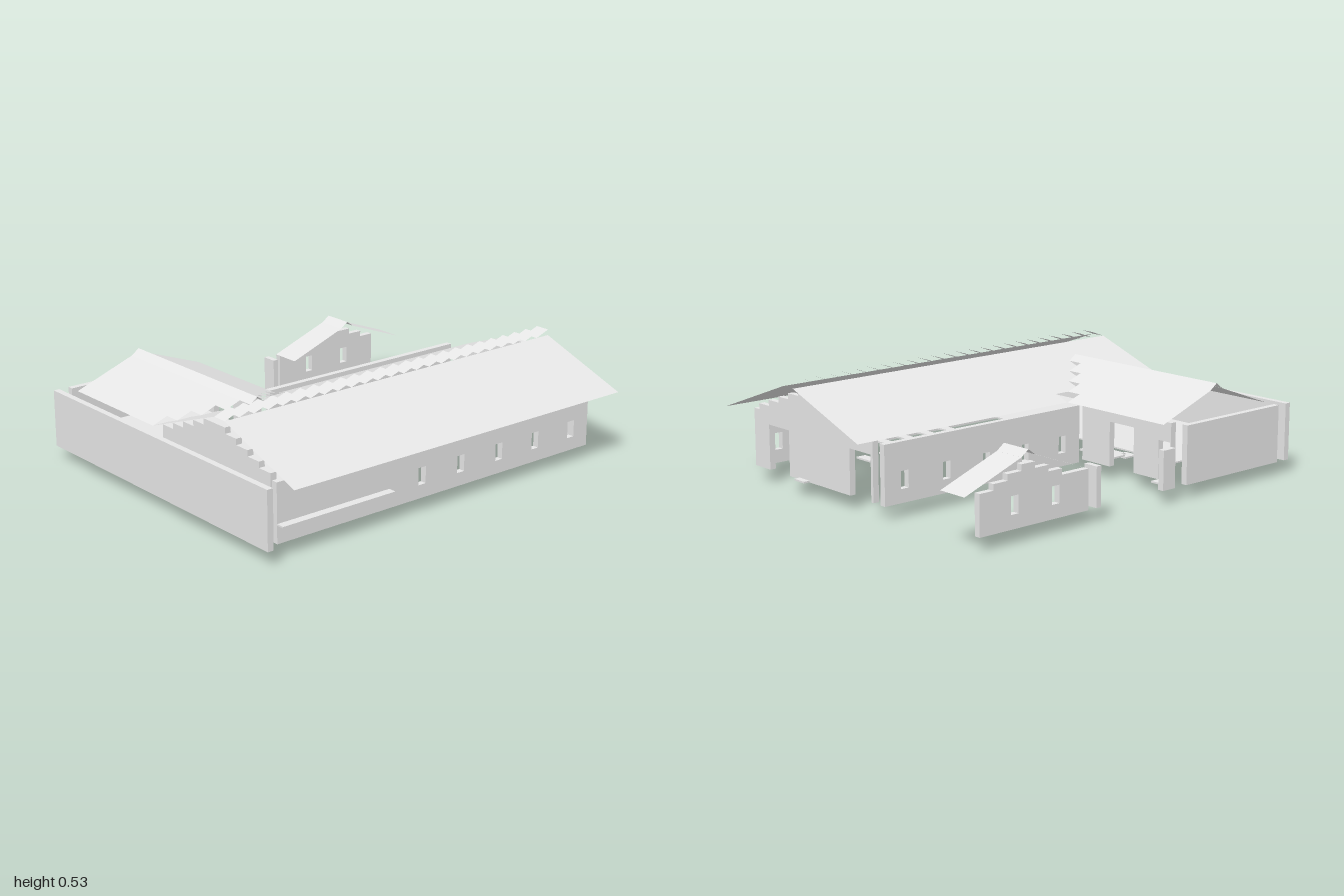
import * as THREE from 'three';

const CELL = 0.077, RISE = 0.028, T = 0.03;
const BASE = 0.067, FLOOR = 0.157, EAVE = 0.34;

export function createModel() {
  const model = new THREE.Group();
  const plaster = new THREE.MeshStandardMaterial({ color: 0xe6e6e6, side: THREE.DoubleSide });
  plaster.name = 'pale grey';

  const add = (geometry, name) => {
    const mesh = new THREE.Mesh(geometry, plaster);
    mesh.name = name;
    model.add(mesh);
    return mesh;
  };

  // Box given by its limits on each axis
  const box = (name, x0, x1, y0, y1, z0, z1) => {
    const mesh = add(new THREE.BoxGeometry(x1 - x0, y1 - y0, z1 - z0), name);
    mesh.position.set((x0 + x1) / 2, (y0 + y1) / 2, (z0 + z1) / 2);
  };

  // Flat polygon fanned from its first corner
  const panel = (name, ...corners) => {
    const geometry = new THREE.BufferGeometry();
    geometry.setAttribute('position', new THREE.Float32BufferAttribute(corners.flat(), 3));
    const index = [];
    for (let i = 1; i < corners.length - 1; i++) index.push(0, i, i + 1);
    geometry.setIndex(index);
    geometry.computeVertexNormals();
    add(geometry, name);
  };

  // Upright wall from an outline, with [u0, u1, v0, v1] openings cut out.
  // Along x it starts at z = at; along z it starts at x = at.
  const wall = (name, axis, at, outline, openings = []) => {
    const s = axis === 'x' ? 1 : -1;
    const shape = new THREE.Shape(outline.map(([u, v]) => new THREE.Vector2(u * s, v)));
    for (const [a, b, c, d] of openings) {
      shape.holes.push(new THREE.Path([[a, c], [b, c], [b, d], [a, d]]
        .map(([u, v]) => new THREE.Vector2(u * s, v))));
    }
    const mesh = add(new THREE.ExtrudeGeometry(shape, { depth: T, bevelEnabled: false }), name);
    if (axis === 'x') mesh.position.z = at;
    else { mesh.rotation.y = Math.PI / 2; mesh.position.x = at; }
  };

  // Lower edge of a wall, stepping up over doorways given as [u0, u1, top]
  const foot = (u0, u1, doors = [], y = BASE) => [
    [u0, y],
    ...doors.flatMap(([a, b, top]) => [[a, y], [a, top], [b, top], [b, y]]),
    [u1, y],
  ];
  const rect = (a, b, top, doors) => [...foot(a, b, doors), [b, top], [a, top]];

  // Stepped gable on top of a lower edge
  const stepped = (lower, from, to, eave, steps) => {
    const right = [], left = [];
    for (let i = 0; i < steps; i++) {
      const y0 = eave + i * RISE, y1 = y0 + RISE;
      right.push([to - i * CELL, y0], [to - i * CELL, y1]);
      left.unshift([from + i * CELL, y1], [from + i * CELL, y0]);
    }
    const u0 = lower[0][0], u1 = lower[lower.length - 1][0];
    return [...lower, [u1, eave], ...right, ...left, [u0, eave]];
  };

  const windowAt = z => [z - 0.021, z + 0.021, 0.13, 0.21];
  const windows = [0.12, -0.11, -0.345, -0.575, -0.81].map(windowAt);

  // Hall walls
  wall('rightWall', 'z', 0.7, rect(-0.92, 0.92, EAVE), windows);
  wall('hallLeftWall', 'z', -0.235, rect(-0.92, 0.23, EAVE), windows);
  wall('backGable', 'x', -0.92,
    stepped(foot(-0.155, 0.7, [[-0.14, 0.01, 0.28], [0.46, 0.615, 0.28]]), -CELL, 0.69, EAVE, 5));
  wall('frontGable', 'x', 0.89,
    stepped(foot(-0.077, 0.69, [[0.23, 0.385, 0.28]], FLOOR), -CELL, 0.69, EAVE, 5));

  // Raised floor across the front
  box('raisedFloor', -0.77, 0.77, 0.15, FLOOR, 0.31, 0.92);

  // Outer enclosure
  box('frontWall', -0.85, 0.77, BASE, EAVE, 0.97, 1);
  box('leftWall', -0.85, -0.82, BASE, EAVE, 0.3, 0.92);
  box('gatePost', -0.85, -0.82, BASE, 0.25, 0.15, 0.225);
  wall('wingBackWall', 'x', 0.28, rect(-0.77, -0.205, EAVE, [[-0.765, -0.695, 0.25], [-0.54, -0.385, 0.28]]));

  // Hall roof: right slope, and left slope up to the wing
  const zb = -1, zf = 0.92, z0 = 0.23, ridge = 0.508, x0 = -0.155, xr = 0.308;
  const slopeY = x => EAVE + (x - x0) / (xr - x0) * (ridge - EAVE);
  const leftSlope = (x, za, zc) => panel('hallRoofLeft',
    [x, slopeY(x), zc], [xr, ridge, zc], [xr, ridge, za], [x, slopeY(x), za]);
  panel('hallRoofRight', [0.382, ridge, zf], [0.843, EAVE, zf], [0.843, EAVE, zb], [0.382, ridge, zb]);
  leftSlope(x0, zb, z0);

  // Wing roof in stepped rows, with the hall roof filling in beside each row
  const wingX = -0.77, wingTop = EAVE + 4 * RISE;
  for (let i = 0; i < 4; i++) {
    const end = x0 + i * CELL, y = EAVE + i * RISE;
    const b = z0 + i * CELL, f = zf - i * CELL;
    panel('wingRoofBackRow', [wingX, y + RISE, b + CELL], [end, y + RISE, b + CELL], [end, y, b], [wingX, y, b]);
    panel('wingRoofFrontRow', [wingX, y, f], [end, y, f], [end, y + RISE, f - CELL], [wingX, y + RISE, f - CELL]);
    leftSlope(i === 0 ? end + CELL : end, b, b + CELL);
    leftSlope(end, f - CELL, f);
  }
  leftSlope(x0 + 4 * CELL, z0 + 4 * CELL, zf - 4 * CELL);

  // Steeper cap along a ridge that runs in x
  const ridgeCap = (name, xa, xb, y, mid) => {
    const h = CELL / 2;
    panel(name, [xa, y, mid + h], [xb, y, mid + h], [xb, y + RISE, mid], [xa, y + RISE, mid]);
    panel(name, [xa, y + RISE, mid], [xb, y + RISE, mid], [xb, y, mid - h], [xa, y, mid - h]);
  };
  ridgeCap('wingRoofCap', wingX, 0.153, wingTop, 0.575);

  // Row of tilted ridge tiles on the hall
  const tiles = 25, step = (zf - zb) / tiles;
  for (let i = 0; i < tiles; i++) {
    const z = zf - i * step;
    panel('ridgeTile', [xr, ridge, z], [0.382, ridge, z],
      [0.382, ridge + RISE, z - step], [xr, ridge + RISE, z - step]);
  }

  // Annex
  wall('annexWall', 'z', -0.85, stepped(foot(-0.92, -0.31), -0.846, -0.464, 0.25, 3),
    [windowAt(-0.73), windowAt(-0.5)]);
  box('annexEndWall', -0.85, -0.775, BASE, 0.25, -0.262, -0.235);
  panel('annexRoofBack', [-0.85, 0.363, -0.694], [-0.7, 0.363, -0.694], [-0.7, 0.25, -1], [-0.85, 0.25, -1]);
  panel('annexRoofFront', [-0.85, 0.25, -0.31], [-0.7, 0.25, -0.31], [-0.7, 0.363, -0.617], [-0.85, 0.363, -0.617]);
  ridgeCap('annexRoofCap', -0.85, -0.7, 0.363, -0.655);

  // Door mats and sunken steps
  const plate = (name, xa, xb, y, za, zc) => box(name, xa, xb, y, y + 0.008, za, zc);
  plate('wingDoorMat', -0.77, -0.695, 0.06, 0.235, 0.31);
  plate('backDoorMat', 0.31, 0.385, 0.067, -0.95, -0.92);
  plate('hallStep', 0.54, 0.615, 0.06, 0.7, 0.77);
  plate('upperStep', -0.23, 0, 0.06, 0.7, 0.85);
  plate('cornerStep', -0.23, -0.155, 0.034, 0.7, 0.77);
  plate('lowestStep', -0.155, -0.08, 0.002, 0.62, 0.7);
  plate('middleStep', -0.155, 0, 0.024, 0.54, 0.62);
  plate('farStep', -0.23, 0, 0.042, 0.46, 0.54);

  // Rows of benches in the hall
  for (let row = 0; row < 6; row++) {
    for (const x of [0.1, 0.3, 0.5]) {
      const z = -0.6 + row * 0.13;
      plate('bench', x - 0.05, x + 0.05, 0.12, z - 0.025, z + 0.025);
    }
  }
  return model;
}
